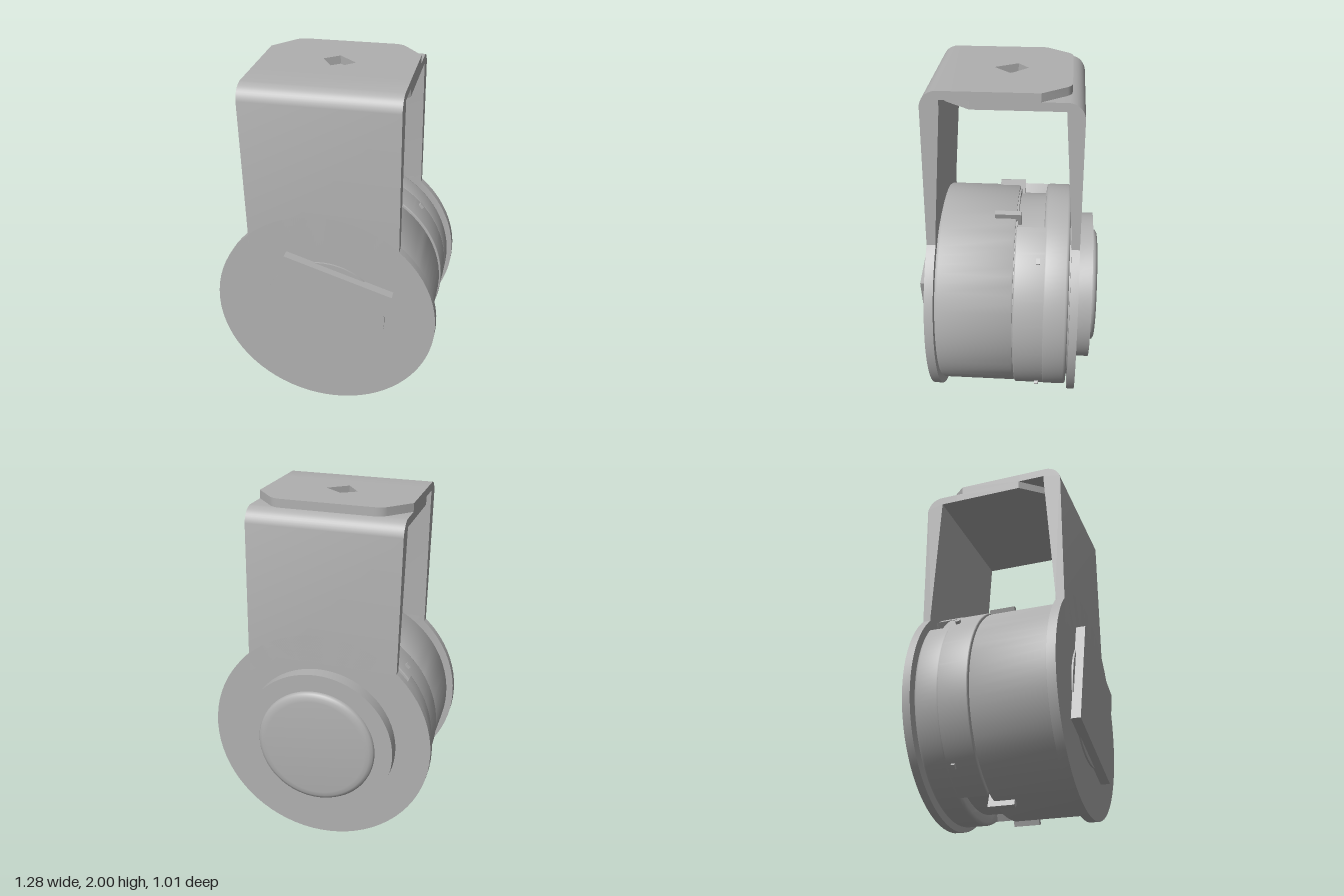
import * as THREE from 'three';
import { toCreasedNormals } from 'three/addons/utils/BufferGeometryUtils.js';

const AXIS = 0.64; // height of the drum axis
const rad = THREE.MathUtils.degToRad;

export function createModel() {
  const root = new THREE.Group();
  root.name = 'clampedDrum';
  root.position.y = AXIS;
  const grey = new THREE.MeshStandardMaterial({ color: 0xb0b0b0 });
  grey.name = 'grey';

  function add(name, geo, parent = root) {
    const mesh = new THREE.Mesh(toCreasedNormals(geo, rad(35)), grey);
    mesh.name = name;
    parent.add(mesh);
    return mesh;
  }

  // Solid turned about the z axis from [radius, z] points, listed back to front
  function turned(name, points) {
    const geo = new THREE.LatheGeometry(points.map(([r, z]) => new THREE.Vector2(r, z)), 72);
    return add(name, geo.rotateX(Math.PI / 2));
  }
  const disc = (name, r, back, front) =>
    turned(name, [[0, back], [r, back], [r, front], [0, front]]);

  // Part of a ring between two angles, measured from +x
  function ringSector(name, inner, outer, from, to, back, front, bevel = 0) {
    const s = new THREE.Shape();
    s.absarc(0, 0, outer - bevel, rad(from), rad(to), false);
    s.absarc(0, 0, inner, rad(to), rad(from), true);
    s.closePath();
    const geo = new THREE.ExtrudeGeometry(s, {
      depth: front - back - 2 * bevel, curveSegments: 48, bevelEnabled: bevel > 0,
      bevelSize: bevel, bevelThickness: bevel, bevelSegments: 3,
    });
    return add(name, geo.translate(0, 0, back + bevel));
  }

  // Round ends of the bracket
  disc('frontPlate', 0.638, 0.4, 0.45);
  disc('backPlate', 0.638, -0.39, -0.345);

  // Bracket arms, leaning slightly to one side
  const bracket = new THREE.Group();
  bracket.name = 'bracket';
  bracket.rotation.z = rad(1);
  root.add(bracket);
  const WIDTH = 0.85;

  // Bent arm: side = 1 front, -1 back; outer and inner are distances in z
  function arm(name, side, outer, inner, top) {
    const s = new THREE.Shape();
    const t = top - AXIS, bend = 0.08;
    s.moveTo(side * outer, 0.3);
    s.lineTo(side * outer, t - bend);
    s.quadraticCurveTo(side * (outer - 0.012), t - 0.012, side * (outer - bend), t);
    s.lineTo(side * 0.2, t);
    s.lineTo(side * 0.2, t - 0.047);
    s.lineTo(side * (inner - 0.05), t - 0.047);
    s.lineTo(side * (inner - 0.05), 1.9 - AXIS);
    s.lineTo(side * inner, 1.15 - AXIS);
    s.lineTo(side * inner, 0.3);
    s.closePath();
    const geo = new THREE.ExtrudeGeometry(s, { depth: WIDTH, bevelEnabled: false, curveSegments: 10 });
    add(name, geo.translate(0, 0, -WIDTH / 2).rotateY(-Math.PI / 2), bracket);
  }
  arm('frontArm', 1, 0.45, 0.4, 1.993);
  arm('backArm', -1, 0.39, 0.345, 1.947);

  // Overlapping top tongue with clipped corners, running from z = root to z = tip
  function tongue(name, start, tip, top, hole) {
    const w = WIDTH / 2, d = Math.sign(tip);
    const s = new THREE.Shape();
    s.moveTo(-w, start);
    s.lineTo(-w, tip - d * 0.155);
    s.lineTo(-w + 0.11, tip - d * 0.025);
    s.quadraticCurveTo(-w + 0.135, tip, -w + 0.18, tip);
    s.lineTo(w - 0.18, tip);
    s.quadraticCurveTo(w - 0.135, tip, w - 0.11, tip - d * 0.025);
    s.lineTo(w, tip - d * 0.155);
    s.lineTo(w, start);
    s.closePath();
    if (hole) s.holes.push(new THREE.Path(hole.map(([x, z]) => new THREE.Vector2(x, z))));
    const geo = new THREE.ExtrudeGeometry(s, { depth: 0.047, bevelEnabled: false, curveSegments: 6 });
    add(name, geo.rotateX(Math.PI / 2).translate(0, top - AXIS, 0), bracket);
  }
  tongue('upperTongue', 0.2, -0.32, 1.993, [[-0.005, -0.08], [0.1, 0.01], [-0.005, 0.105], [-0.085, -0.02]]);
  tongue('lowerTongue', -0.2, 0.35, 1.947);

  // Drum: smooth front body and narrower rear core
  turned('frontDrum', [[0.54, -0.03], [0.594, -0.03], [0.599, -0.022], [0.599, 0.385], [0.59, 0.4]]);
  disc('rearCore', 0.55, -0.345, 0.0);
  disc('seam', 0.58, -0.04, -0.02);

  // Rear side covers, open at the top and bottom
  for (const mid of [0, 180])
    ringSector('sideCover', 0.53, 0.608, mid - 62, mid + 62, -0.25, -0.035, 0.006);
  // Rear rim, with a notch at the upper right
  ringSector('rearRim', 0.53, 0.61, 143, 487, -0.337, -0.19, 0.018);

  // Locking tabs and small pegs around the drum
  for (const sx of [-1, 1])
    for (const sy of [-1, 1]) {
      const tab = add('lockingTab', new THREE.BoxGeometry(0.03, 0.1, 0.15));
      tab.position.set(sx * 0.2, sy * 0.545, 0.015);
      tab.rotation.z = -sx * sy * 0.35;
      const peg = add('peg', new THREE.BoxGeometry(0.02, 0.03, 0.022));
      peg.position.set(sx * 0.449, sy * 0.42, -0.165);
      peg.rotation.z = sx * sy * 0.75;
    }

  // Square front pad on a shallow round boss
  disc('frontBoss', 0.35, 0.445, 0.46);
  const pad = add('frontPad', new THREE.BoxGeometry(0.635, 0.635, 0.053));
  pad.position.z = 0.4785;
  pad.rotation.z = rad(-16.6);

  // Back flange and rounded cap
  disc('backFlange', 0.44, -0.47, -0.385);
  turned('backCap', [[0, -0.502], [0.29, -0.502], [0.315, -0.499], [0.333, -0.49], [0.34, -0.478], [0.34, -0.465]]);

  return root;
}
